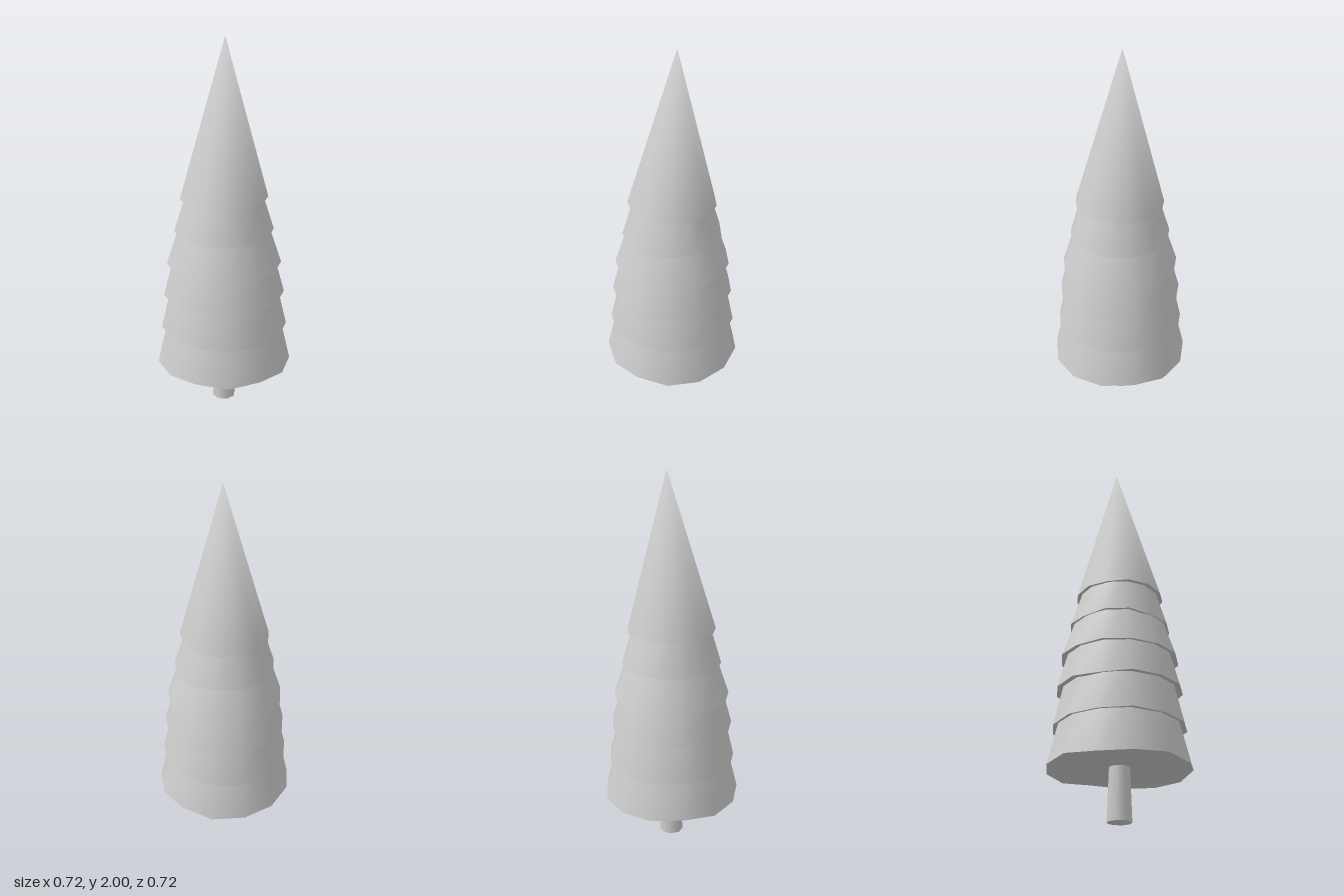
import * as THREE from 'three';

const SIDES = 13;
const CX = -0.005;
const material = new THREE.MeshStandardMaterial({ color: 0xcccccc });

// Small seeded random, -1..1
function makeRandom(seed) {
  return () => {
    seed = (seed * 16807) % 2147483647;
    return (seed / 2147483647) * 2 - 1;
  };
}

// Ring of points; lift holds a small height offset per corner
function ring(radius, y, lift = []) {
  return Array.from({ length: SIDES }, (_, i) => {
    const a = (i / SIDES) * Math.PI * 2;
    return [CX + radius * Math.cos(a), y + (lift[i] ?? 0), radius * Math.sin(a)];
  });
}

// Smooth skin through rings; a ring of one point is a tip or a centre
function loft(rings) {
  const starts = [];
  const points = [];
  for (const r of rings) {
    starts.push(points.length);
    points.push(...r);
  }
  const index = [];
  for (let k = 0; k + 1 < rings.length; k++) {
    const at = (n, i) => starts[n] + (i % rings[n].length);
    for (let i = 0; i < SIDES; i++) {
      if (rings[k].length > 1) index.push(at(k, i), at(k + 1, i), at(k, i + 1));
      if (rings[k + 1].length > 1) index.push(at(k + 1, i), at(k + 1, i + 1), at(k, i + 1));
    }
  }
  const geometry = new THREE.BufferGeometry();
  geometry.setAttribute('position', new THREE.Float32BufferAttribute(points.flat(), 3));
  geometry.setIndex(index);
  geometry.computeVertexNormals();
  return geometry;
}

function addMesh(parent, name, geometry) {
  const mesh = new THREE.Mesh(geometry, material);
  mesh.name = name;
  parent.add(mesh);
  return mesh;
}

export function createModel() {
  const model = new THREE.Group();
  model.name = 'pineTree';

  // Trunk, slightly tapered
  const trunk = addMesh(model, 'trunk', new THREE.CylinderGeometry(0.052, 0.063, 0.3, 8));
  trunk.position.set(CX, 0.15, 0);

  // Branch tiers: [rim height, rim radius, radius at the next rim]
  const tiers = [
    [0.255, 0.365, 0.315],
    [0.46, 0.341, 0.296],
    [0.648, 0.325, 0.277],
    [0.825, 0.306, 0.246],
    [1.003, 0.263, 0.208],
    [1.18, 0.231, 0],
  ];
  const random = makeRandom(4271);
  tiers.forEach(([y, radius, upper], n) => {
    const tier = new THREE.Group();
    tier.name = n === tiers.length - 1 ? 'topCone' : `branchTier${n + 1}`;
    const lift = Array.from({ length: SIDES }, () => random() * 0.01);
    const rim = ring(radius, y, lift);

    // Outer needles: pointed on the last tier, tucked under the next one on the others
    let top = [[-0.01, 2, -0.023]];
    if (upper) {
      const nextY = tiers[n + 1][0];
      const slope = (radius - upper) / (nextY - y);
      top = ring(upper - slope * 0.05, nextY + 0.05);
    }
    addMesh(tier, 'needles', loft([rim, top]));

    // Underside: sloped lip, then a flat disc
    const innerY = y + 0.012;
    const inner = ring(radius * 0.85, innerY);
    addMesh(tier, 'rimLip', loft([inner, rim]));
    addMesh(tier, 'underside', loft([[[CX, innerY, 0]], inner]));
    model.add(tier);
  });

  return model;
}
